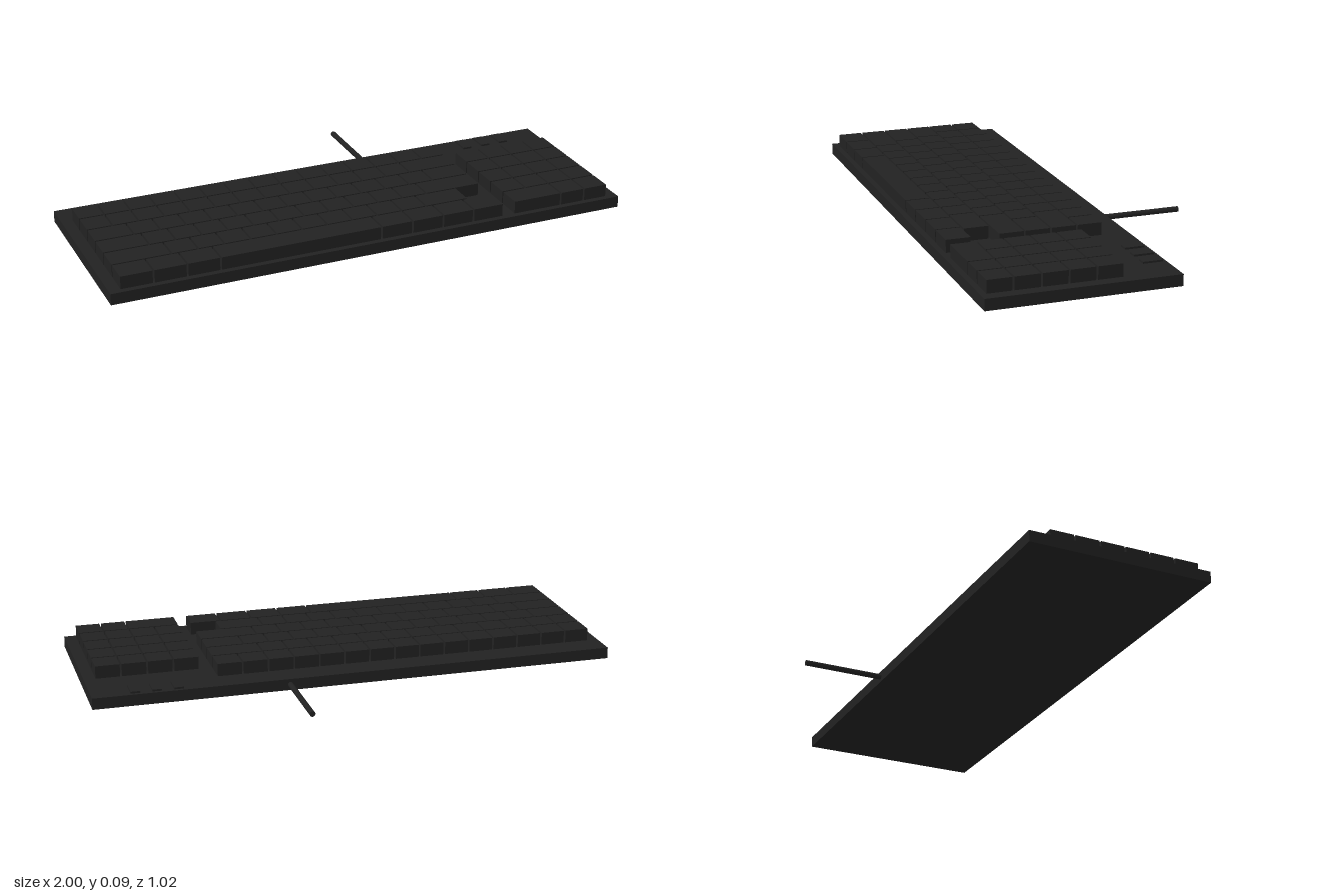
import * as THREE from 'three';

export function createModel() {
  const model = new THREE.Group();
  const black = new THREE.MeshStandardMaterial({ color: 0x222222 });
  black.name = 'black plastic';

  const UNIT = 0.0987, GAP = 0.007;
  const BASE_H = 0.043, KEY_H = 0.048;
  const Z_TOP = -0.097; // rear edge of the first key row

  function add(parent, name, geometry, x, y, z) {
    const mesh = new THREE.Mesh(geometry, black);
    mesh.name = name;
    mesh.position.set(x, y, z);
    parent.add(mesh);
    return mesh;
  }

  // Flat case
  add(model, 'case', new THREE.BoxGeometry(2, BASE_H, 0.71), 0, BASE_H / 2, 0.155);

  // One row of keys, widths given in key units
  function addRow(parent, xStart, row, widths) {
    let x = xStart;
    for (const w of widths) {
      const width = w * UNIT - GAP, depth = UNIT - GAP;
      add(parent, 'key', new THREE.BoxGeometry(width, KEY_H, depth),
        x + width / 2, BASE_H + KEY_H / 2, Z_TOP + row * UNIT + depth / 2);
      x += w * UNIT;
    }
  }
  const ones = (n) => Array(n).fill(1);

  // Main key block
  const mainKeys = new THREE.Group();
  mainKeys.name = 'mainKeys';
  [
    ones(15),
    [...ones(13), 2],
    [1.5, ...ones(12), 1.5],
    [1.75, ...ones(11), 2.25],
    [2.25, ...ones(10), 1.75],
    [1.25, 1.25, 1.25, 6.25, 1.25, 1.25, 1.25, 1.25],
  ].forEach((widths, row) => addRow(mainKeys, -0.957, row, widths));
  model.add(mainKeys);

  // Number pad
  const numberPad = new THREE.Group();
  numberPad.name = 'numberPad';
  for (let row = 1; row < 5; row++) addRow(numberPad, 0.568, row, ones(4));
  addRow(numberPad, 0.568, 5, [2, 1, 1]);
  model.add(numberPad);

  // Indicator lights behind the number pad
  for (const x of [0.68, 0.76, 0.84]) {
    add(model, 'indicatorLight', new THREE.BoxGeometry(0.035, 0.007, 0.075), x, BASE_H + 0.0035, -0.15);
  }

  // Cable leaving the rear edge
  const cable = new THREE.CylinderGeometry(0.0105, 0.0105, 0.33, 16).rotateX(Math.PI / 2);
  add(model, 'cable', cable, 0.265, 0.0215, -0.345);

  return model;
}
